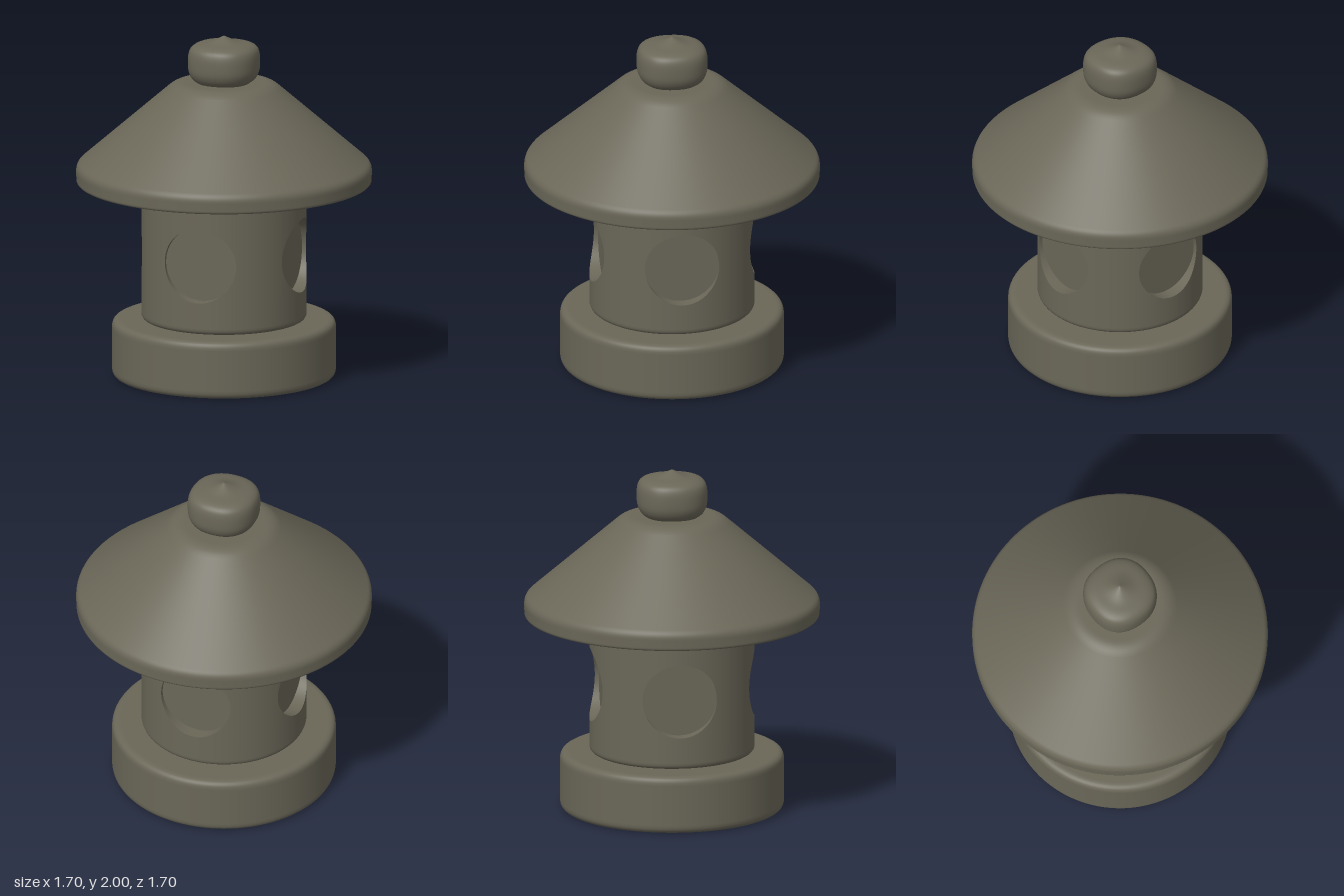
import * as THREE from 'three';
import { ParametricGeometry } from 'three/addons/geometries/ParametricGeometry.js';

const stone = new THREE.MeshStandardMaterial({ color: 0x6a6758 });
stone.name = 'weathered stone';

const BODY_R = 0.475, BODY_BOTTOM = 0.338, BODY_TOP = 1.138, RIM = 0.035;
const HOLE_R = 0.216, HOLE_Y = 0.74, RECESS = 0.4;

function part(name, geometry, parent) {
  const mesh = new THREE.Mesh(geometry, stone);
  mesh.name = name;
  parent.add(mesh);
  return mesh;
}

// Turned solid from corners [radius, y, rounding], listed from bottom to top.
// Extra points beside each rounding keep the flat faces evenly shaded.
function turned(corners, segments = 96) {
  const pts = [];
  corners.forEach(([r, y, d], i) => {
    const p = new THREE.Vector2(r, y);
    if (!d) { pts.push(p); return; }
    const towards = (k, len) => {
      const q = new THREE.Vector2(corners[k][0], corners[k][1]);
      return q.sub(p).normalize().multiplyScalar(len).add(p);
    };
    pts.push(towards(i - 1, d + 0.004));
    const curve = new THREE.QuadraticBezierCurve(towards(i - 1, d), p, towards(i + 1, d));
    pts.push(...curve.getPoints(7), towards(i + 1, d + 0.004));
  });
  return new THREE.LatheGeometry(pts, segments);
}

// Quarter of the drum wall, stretched from the round opening to its outer edges
function wallPanel() {
  const low = BODY_BOTTOM + RIM, high = BODY_TOP - RIM;
  return new ParametricGeometry((u, v, target) => {
    const t = v * Math.PI * 2, c = Math.cos(t), s = Math.sin(t);
    const m = Math.max(Math.abs(c), Math.abs(s));
    const innerA = Math.asin(HOLE_R * c / BODY_R), innerY = HOLE_Y + HOLE_R * s;
    const outerA = (Math.PI / 4) * c / m;
    const outerY = (low + high) / 2 + ((high - low) / 2) * s / m;
    const a = THREE.MathUtils.lerp(innerA, outerA, u);
    target.set(BODY_R * Math.sin(a), THREE.MathUtils.lerp(innerY, outerY, u), BODY_R * Math.cos(a));
  }, 10, 96);
}

// Side of the recess, from its flat back out to the curved drum surface
function recessSide() {
  return new ParametricGeometry((u, v, target) => {
    const t = v * Math.PI * 2, x = HOLE_R * Math.cos(t);
    const lip = Math.sqrt(BODY_R * BODY_R - x * x);
    target.set(x, HOLE_Y + HOLE_R * Math.sin(t), THREE.MathUtils.lerp(RECESS, lip, u));
  }, 2, 96);
}

// Finial: a turned knob pushed slightly towards a square plan
function finialGeometry() {
  const profile = new THREE.SplineCurve([
    [0.145, 1.725], [0.178, 1.75], [0.198, 1.79], [0.203, 1.84], [0.2, 1.895],
    [0.185, 1.93], [0.15, 1.95], [0.09, 1.962], [0.045, 1.978], [0, 2],
  ].map(([r, y]) => new THREE.Vector2(r, y)));
  const pts = profile.getPoints(40);
  pts[pts.length - 1].x = 0;
  const geo = new THREE.LatheGeometry(pts, 64);
  const pos = geo.attributes.position, n = 2.3;
  for (let i = 0; i < pos.count; i++) {
    const x = pos.getX(i), z = pos.getZ(i), r = Math.hypot(x, z);
    if (r < 1e-6) continue;
    const k = Math.pow(Math.abs(x / r) ** n + Math.abs(z / r) ** n, -1 / n);
    pos.setX(i, x * k);
    pos.setZ(i, z * k);
  }
  geo.computeVertexNormals();
  return geo;
}

export function createModel() {
  const model = new THREE.Group();
  model.name = 'stoneLantern';

  // Foot
  part('base', turned([[0, 0], [0.643, 0, 0.045], [0.643, 0.335, 0.045], [0, 0.335]]), model);

  // Lamp drum with four round recesses
  const drum = new THREE.Group();
  drum.name = 'lampDrum';
  model.add(drum);
  const seamLow = BODY_BOTTOM + RIM + 0.004, seamHigh = BODY_TOP - RIM - 0.004;
  part('drumLowerRim', turned([[0, BODY_BOTTOM], [BODY_R, BODY_BOTTOM, RIM], [BODY_R, seamLow]]), drum);
  part('drumUpperRim', turned([[BODY_R, seamHigh], [BODY_R, BODY_TOP, RIM], [0, BODY_TOP]]), drum);

  const panel = wallPanel(), side = recessSide();
  const back = new THREE.CircleGeometry(HOLE_R, 96).translate(0, HOLE_Y, RECESS);
  ['front', 'left', 'back', 'right'].forEach((where, i) => {
    const quarter = new THREE.Group();
    quarter.name = where + 'Window';
    quarter.rotation.y = i * Math.PI / 2;
    part('drumWall', panel, quarter);
    part('recessSide', side, quarter);
    part('recessBack', back, quarter);
    drum.add(quarter);
  });

  // Roof
  part('roof', turned([
    [0, 1.138], [0.848, 1.138, 0.018], [0.85, 1.235, 0.03], [0.285, 1.728, 0.05], [0, 1.728],
  ], 128), model);

  // Knob on top
  part('finial', finialGeometry(), model);

  return model;
}
